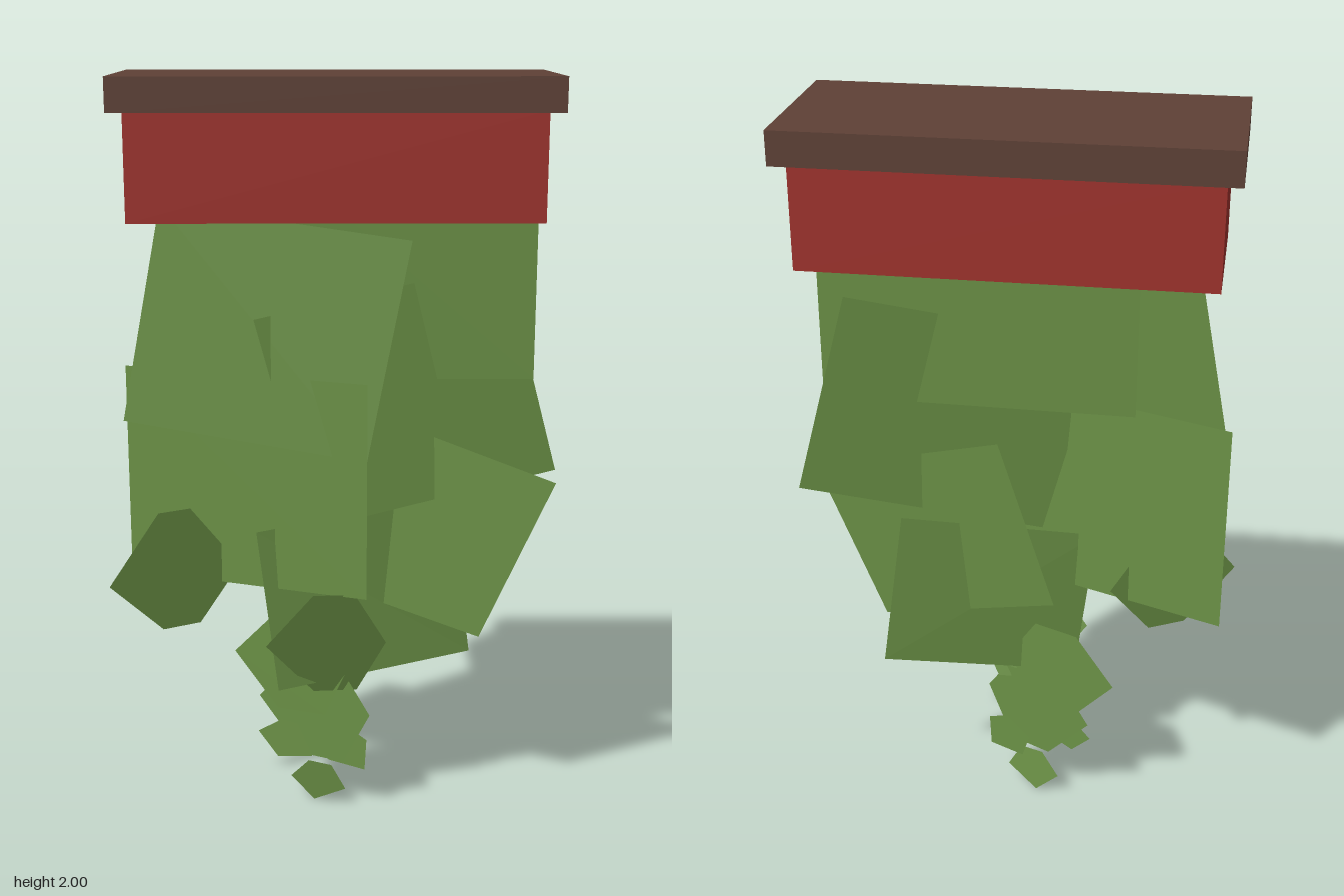
import * as THREE from 'three';

export function createModel() {
  const model = new THREE.Group();
  const wood = new THREE.MeshStandardMaterial({ color: 0x5f4136 });
  wood.name = 'brown wood';
  const red = new THREE.MeshStandardMaterial({ color: 0xa0332d });
  red.name = 'red paint';
  const green = new THREE.MeshStandardMaterial({ color: 0x6b9146, side: THREE.DoubleSide });
  green.name = 'leaf green';

  const addBox = (name, material, w, h, d, y, z) => {
    const mesh = new THREE.Mesh(new THREE.BoxGeometry(w, h, d), material);
    mesh.name = name;
    mesh.position.set(0, y, z);
    model.add(mesh);
  };

  // Planter box and overhanging rim
  addBox('rim', wood, 1.1, 0.085, 0.47, 1.9575, 0);
  addBox('planterBox', red, 1.025, 0.27, 0.41, 1.785, 0.002);

  // Flat convex sheet, fanned from its first corner; outline runs clockwise from the front
  const addSheet = (parent, name, corners) => {
    const pts = corners.map(c => new THREE.Vector3(...c));
    const tris = [];
    for (let i = 1; i < pts.length - 1; i++) tris.push(pts[0], pts[i + 1], pts[i]);
    const geometry = new THREE.BufferGeometry().setFromPoints(tris);
    geometry.computeVertexNormals();
    const mesh = new THREE.Mesh(geometry, green);
    mesh.name = name;
    parent.add(mesh);
  };

  // Large overlapping sheets of hanging foliage
  const foliage = new THREE.Group();
  foliage.name = 'foliage';
  model.add(foliage);
  addSheet(foliage, 'upperFrontSheet',
    [[-0.45, 1.675, 0], [0.19, 1.6, 0.147], [0.08, 1.03, 0.147], [-0.56, 1.105, 0]]);
  addSheet(foliage, 'leftSheet',
    [[-0.56, 1.237, -0.08], [0.08, 1.237, 0.16], [0.08, 0.66, 0.16], [-0.56, 0.66, -0.08]]);
  addSheet(foliage, 'upperBackSheet',
    [[-0.31, 1.93, 0.005], [0.518, 1.93, 0.015], [0.518, 1.22, 0.015], [-0.31, 1.22, 0.005]]);
  addSheet(foliage, 'rightSheet',
    [[-0.21, 1.39, 0.083], [0.44, 1.52, -0.03], [0.59, 0.96, -0.03], [-0.06, 0.83, 0.083]]);
  addSheet(foliage, 'lowerRightSheet',
    [[0.045, 1.135, -0.035], [0.575, 0.96, 0.1], [0.385, 0.52, 0.07], [-0.11, 0.665, -0.05]]);
  addSheet(foliage, 'lowerBackSheet',
    [[-0.21, 0.82, 0.08], [0.31, 0.89, -0.03], [0.37, 0.435, -0.042], [-0.155, 0.37, 0.083]]);

  // Leaves, each tilted: z = z0 + x * sx + y * sy
  const leaves = new THREE.Group();
  leaves.name = 'leaves';
  model.add(leaves);
  const addLeaf = (name, z0, sx, sy, outline) =>
    addSheet(leaves, name, outline.map(([x, y]) => [x, y, z0 + x * sx + y * sy]));

  addLeaf('leftLeaf', -0.154, -0.55, 0,
    [[-0.59, 0.7], [-0.465, 0.88], [-0.385, 0.88], [-0.26, 0.7], [-0.365, 0.555], [-0.46, 0.555]]);
  addLeaf('centreLeaf', -0.06, -0.07, 0.3,
    [[-0.187, 0.507], [-0.06, 0.665], [0.05, 0.665], [0.135, 0.51], [0.057, 0.355], [-0.06, 0.355]]);
  addLeaf('sideLeaf', 0.05, 0.43, 0,
    [[-0.28, 0.425], [-0.17, 0.55], [-0.05, 0.55], [0.03, 0.42], [-0.03, 0.278], [-0.16, 0.275]]);
  addLeaf('lowerLeaf', 0.035, 0.5, 0,
    [[-0.213, 0.29], [-0.13, 0.4], [0.035, 0.385], [0.092, 0.295], [0.02, 0.14], [-0.095, 0.14]]);
  addLeaf('smallRightLeaf', 0, 0.53, 0,
    [[-0.04, 0.19], [0.03, 0.235], [0.085, 0.205], [0.08, 0.115], [-0.02, 0.12]]);
  addLeaf('smallLeftLeaf', 0.094, 0.53, 0,
    [[-0.215, 0.205], [-0.15, 0.255], [-0.105, 0.252], [-0.065, 0.165], [-0.16, 0.14]]);
  addLeaf('tipLeaf', 0.015, 0.4, 0.15,
    [[-0.125, 0.065], [-0.075, 0.125], [-0.012, 0.122], [0.027, 0.052], [-0.06, 0]]);

  return model;
}
